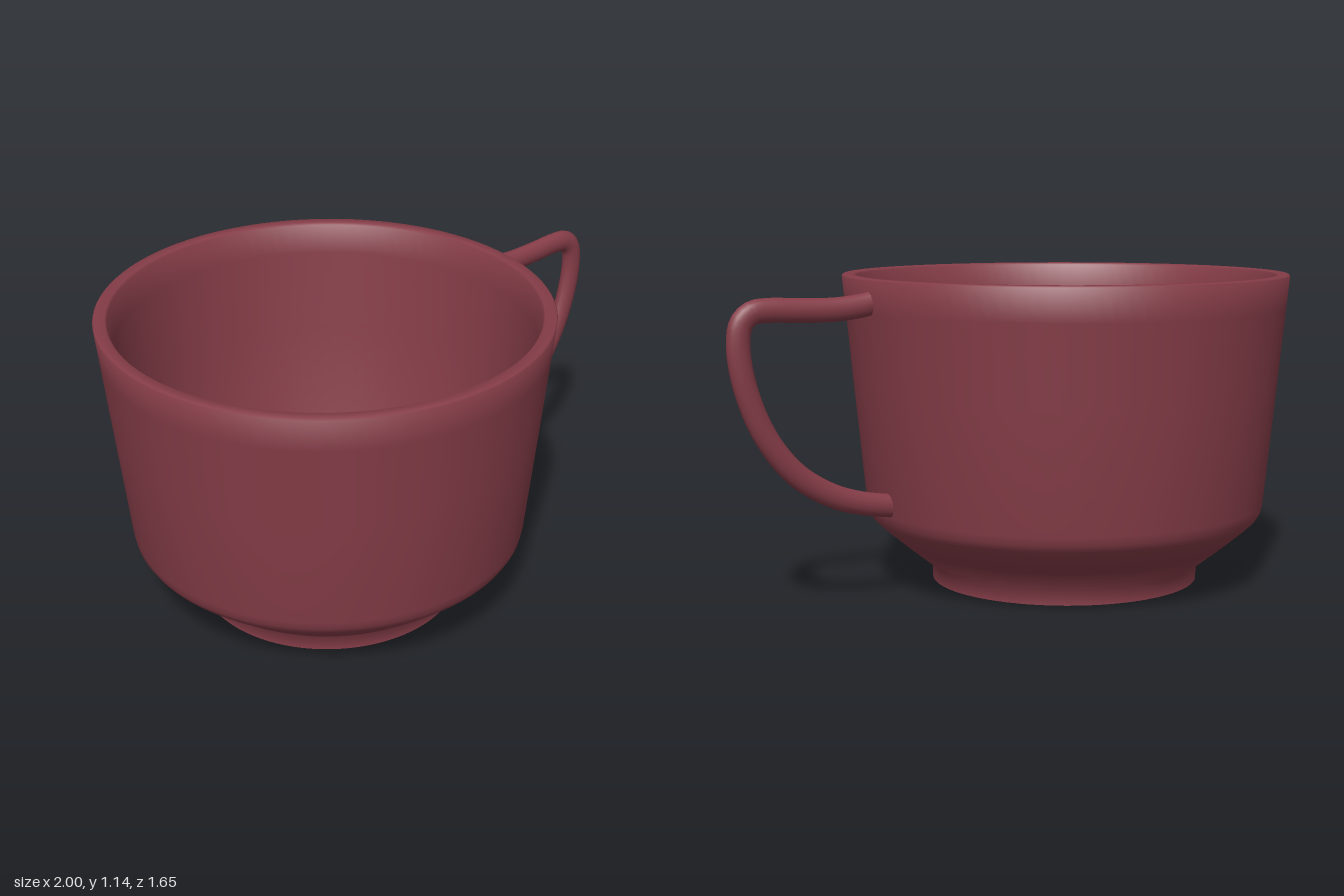
import * as THREE from 'three';
import { toCreasedNormals } from 'three/addons/utils/BufferGeometryUtils.js';

const v2 = ([x, y]) => new THREE.Vector2(x, y);

export function createModel() {
  const model = new THREE.Group();
  model.name = 'teacup';
  const glaze = new THREE.MeshStandardMaterial({ color: 0x863d48 });

  // Cup: one closed profile, from under the base, up the outside, over the rim and down inside
  const profile = [
    [0, 0], [0.498, 0], [0.498, 0.055],                      // flat base and foot ring
    [0.6, 0.135], [0.69, 0.21], [0.722, 0.24],               // flared lower body
    [0.737, 0.265], [0.743, 0.295], [0.785, 0.72],           // shoulder and wall
    [0.814, 1.02], [0.826, 1.138], [0.821, 1.143],           // outer lip
    [0.782, 1.143], [0.775, 1.136], [0.766, 1.02],           // inner lip
    [0.735, 0.72], [0.694, 0.32], [0.686, 0.292],            // inner wall
    [0.66, 0.265], [0.56, 0.175], [0.44, 0.075],             // inner slope
    [0.44, 0.05], [0, 0.05],                                 // sunken floor
  ].map(v2);
  const cup = new THREE.Mesh(toCreasedNormals(new THREE.LatheGeometry(profile, 96), 1), glaze);
  cup.name = 'cupBody';

  // Handle: an oval tube in a radial plane, its ends buried in the wall
  const path = new THREE.CatmullRomCurve3([
    [0.785, 1.065], [0.85, 1.052], [0.95, 1.043], [1.08, 1.045], [1.19, 1.05], [1.255, 1.043],
    [1.292, 1.01], [1.305, 0.94], [1.285, 0.8], [1.215, 0.625], [1.105, 0.485], [0.975, 0.4],
    [0.86, 0.36], [0.72, 0.335],
  ].map(([r, y]) => new THREE.Vector3(r, y, 0)));
  const handle = new THREE.Mesh(new THREE.TubeGeometry(path, 80, 0.042, 16), glaze);
  handle.name = 'handle';
  handle.scale.z = 0.76;
  handle.rotation.y = THREE.MathUtils.degToRad(29.5);

  // The handle sticks out to one side, so the cup sits off centre
  const body = new THREE.Group();
  body.name = 'cupWithHandle';
  body.position.x = -0.175;
  body.add(cup, handle);
  model.add(body);
  return model;
}
